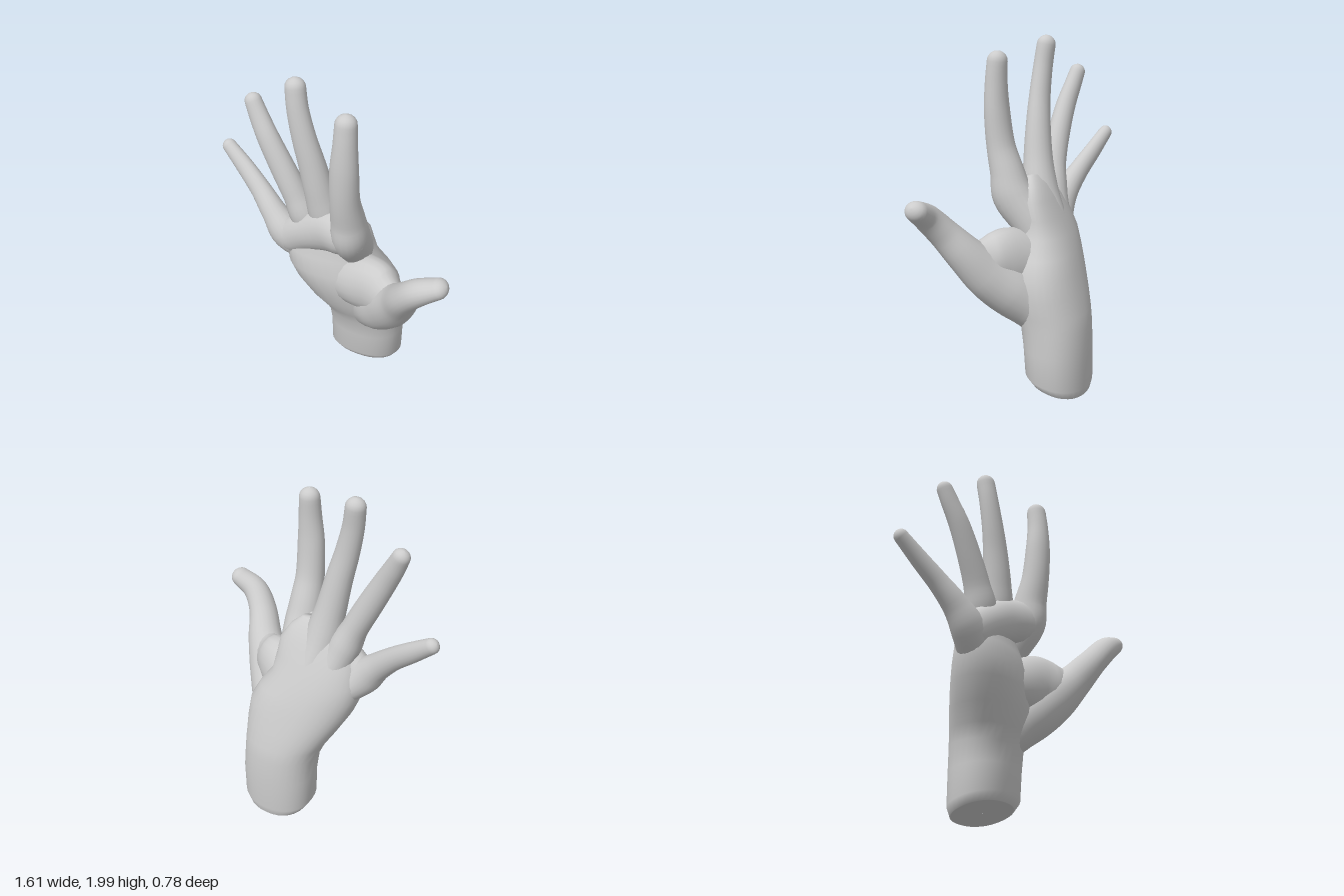
import * as THREE from 'three';

const SIDES = 20;
const Z = new THREE.Vector3(0, 0, 1);

// Skin a list of closed rings (arrays of Vector3) with a smooth surface
function skin(name, rings) {
  const n = rings[0].length, index = [];
  for (let i = 0; i < rings.length - 1; i++) {
    for (let j = 0; j < n; j++) {
      const k = (j + 1) % n, a = i * n + j, b = i * n + k;
      index.push(a, b, b + n, a, b + n, a + n);
    }
  }
  const geometry = new THREE.BufferGeometry().setFromPoints(rings.flat());
  geometry.setIndex(index);
  geometry.computeVertexNormals();
  const mesh = new THREE.Mesh(geometry, new THREE.MeshStandardMaterial({ color: 0xcccccc }));
  mesh.name = name;
  return mesh;
}

// Round-ended limb through stations [x, y, z, half width, half depth]
function limb(name, stations) {
  const path = new THREE.CatmullRomCurve3(stations.map(s => new THREE.Vector3(s[0], s[1], s[2])));
  const size = new THREE.CatmullRomCurve3(stations.map(s => new THREE.Vector3(s[3], s[4], 0)));
  const rings = [];
  const addRing = (u, angle) => {
    const t = path.getTangent(u), r = size.getPoint(u);
    const side = new THREE.Vector3().crossVectors(Z, t).normalize();
    const depth = new THREE.Vector3().crossVectors(t, side).normalize();
    const centre = path.getPoint(u).addScaledVector(t, Math.min(r.x, r.y) * Math.sin(angle));
    const scale = Math.max(Math.cos(angle), 0.01);
    rings.push(Array.from({ length: SIDES }, (_, j) => {
      const a = j / SIDES * Math.PI * 2;
      return centre.clone()
        .addScaledVector(side, r.x * scale * Math.cos(a))
        .addScaledVector(depth, r.y * scale * Math.sin(a));
    }));
  };
  const steps = (stations.length - 1) * 5;
  for (let i = -5; i < 0; i++) addRing(0, i / 5 * Math.PI / 2);
  for (let i = 0; i <= steps; i++) addRing(i / steps, 0);
  for (let i = 1; i <= 5; i++) addRing(1, i / 5 * Math.PI / 2);
  return skin(name, rings);
}

// Wrist and palm from level sections [y, x min, x max, z back, z front]
function palm() {
  const sections = [
    [0.00, -0.08, 0.31, -0.38, -0.06],
    [0.05, -0.11, 0.34, -0.39, -0.03],
    [0.25, -0.11, 0.345, -0.39, -0.02],
    [0.40, -0.12, 0.34, -0.38, 0.00],
    [0.48, -0.15, 0.345, -0.365, 0.04],
    [0.58, -0.21, 0.35, -0.335, 0.09],
    [0.70, -0.275, 0.34, -0.295, 0.12],
    [0.80, -0.31, 0.29, -0.255, 0.13],
    [0.90, -0.32, 0.22, -0.21, 0.11],
    [1.00, -0.29, 0.20, -0.165, 0.08],
    [1.10, -0.25, 0.19, -0.115, 0.07],
    [1.18, -0.17, 0.14, -0.07, 0.06],
    [1.23, -0.06, 0.08, -0.02, 0.04],
  ];
  const round = v => Math.sign(v) * Math.abs(v) ** 0.9;
  const ring = ([y, x0, x1, z0, z1], scale = 1) => Array.from({ length: 32 }, (_, j) => {
    const a = j / 32 * Math.PI * 2;
    const across = (x0 + x1) / 2 - (x1 - x0) / 2 * scale * round(Math.cos(a));
    // the little-finger edge turns forward above the wrist
    const turn = 0.12 * THREE.MathUtils.smoothstep(y, 0.4, 0.8) * (across - (x0 + x1) / 2);
    const z = (z0 + z1) / 2 + (z1 - z0) / 2 * scale * round(Math.sin(a)) - turn;
    // the cut end of the wrist slopes up towards the palm side
    const slope = 0.25 * (z + 0.38) * Math.max(0, 1 - y / 0.4);
    return new THREE.Vector3(across, y + slope, z);
  });
  const end = sections[sections.length - 1];
  return skin('palm', [
    ring(sections[0], 0.01), ring(sections[0], 0.97),
    ...sections.map(s => ring(s)), ring(end, 0.01),
  ]);
}

export function createModel() {
  const hand = new THREE.Group();
  hand.name = 'hand';
  hand.add(palm());

  // Fingers run from inside the palm out to the tip
  hand.add(limb('indexFinger', [
    [0.10, 0.76, -0.15, 0.08, 0.08],
    [0.115, 0.98, -0.02, 0.10, 0.11],
    [0.13, 1.12, 0.08, 0.108, 0.12],
    [0.13, 1.25, 0.115, 0.098, 0.098],
    [0.13, 1.40, 0.155, 0.085, 0.08],
    [0.135, 1.60, 0.175, 0.08, 0.07],
    [0.14, 1.75, 0.175, 0.067, 0.062],
    [0.14, 1.87, 0.167, 0.06, 0.057],
  ]));
  hand.add(limb('middleFinger', [
    [0.01, 0.74, -0.19, 0.08, 0.08],
    [-0.03, 0.97, -0.07, 0.10, 0.10],
    [-0.055, 1.14, 0.00, 0.105, 0.10],
    [-0.085, 1.30, 0.03, 0.09, 0.085],
    [-0.125, 1.50, 0.05, 0.078, 0.07],
    [-0.165, 1.66, 0.06, 0.07, 0.06],
    [-0.20, 1.82, 0.058, 0.062, 0.055],
    [-0.217, 1.94, 0.047, 0.058, 0.054],
  ]));
  hand.add(limb('ringFinger', [
    [-0.07, 0.74, -0.16, 0.07, 0.07],
    [-0.145, 0.97, -0.05, 0.09, 0.09],
    [-0.195, 1.11, 0.00, 0.095, 0.095],
    [-0.25, 1.24, 0.015, 0.077, 0.077],
    [-0.33, 1.40, 0.02, 0.074, 0.066],
    [-0.42, 1.57, 0.015, 0.066, 0.057],
    [-0.48, 1.68, 0.00, 0.058, 0.05],
    [-0.52, 1.76, -0.012, 0.05, 0.046],
  ]));
  hand.add(limb('littleFinger', [
    [-0.16, 0.80, -0.07, 0.08, 0.08],
    [-0.31, 0.94, 0.01, 0.105, 0.095],
    [-0.41, 1.05, 0.00, 0.08, 0.075],
    [-0.52, 1.16, -0.035, 0.066, 0.057],
    [-0.64, 1.26, -0.07, 0.058, 0.048],
    [-0.765, 1.36, -0.10, 0.044, 0.04],
  ]));

  // Thumb with its fleshy root
  hand.add(limb('thumb', [
    [0.16, 0.40, -0.17, 0.11, 0.11],
    [0.21, 0.52, -0.08, 0.14, 0.14],
    [0.29, 0.62, 0.01, 0.15, 0.145],
    [0.39, 0.73, 0.10, 0.14, 0.125],
    [0.48, 0.85, 0.18, 0.108, 0.105],
    [0.555, 0.98, 0.27, 0.083, 0.09],
    [0.64, 1.08, 0.315, 0.075, 0.077],
    [0.745, 1.143, 0.31, 0.057, 0.065],
  ]));

  // Fold of flesh bridging the palm and the thumb
  hand.add(limb('thumbWeb', [
    [0.02, 0.72, -0.06, 0.15, 0.15],
    [0.16, 0.76, 0.00, 0.175, 0.15],
    [0.28, 0.79, 0.05, 0.18, 0.13],
    [0.37, 0.79, 0.10, 0.16, 0.11],
    [0.44, 0.80, 0.14, 0.12, 0.08],
  ]));

  // Padded ridge under the fingers, above the palm crease
  hand.add(limb('fingerPad', [
    [-0.29, 0.94, 0.015, 0.11, 0.09],
    [-0.18, 1.015, 0.035, 0.115, 0.09],
    [-0.04, 1.085, 0.055, 0.13, 0.095],
    [0.06, 1.11, 0.075, 0.13, 0.105],
    [0.13, 1.11, 0.085, 0.11, 0.105],
  ]));
  return hand;
}
